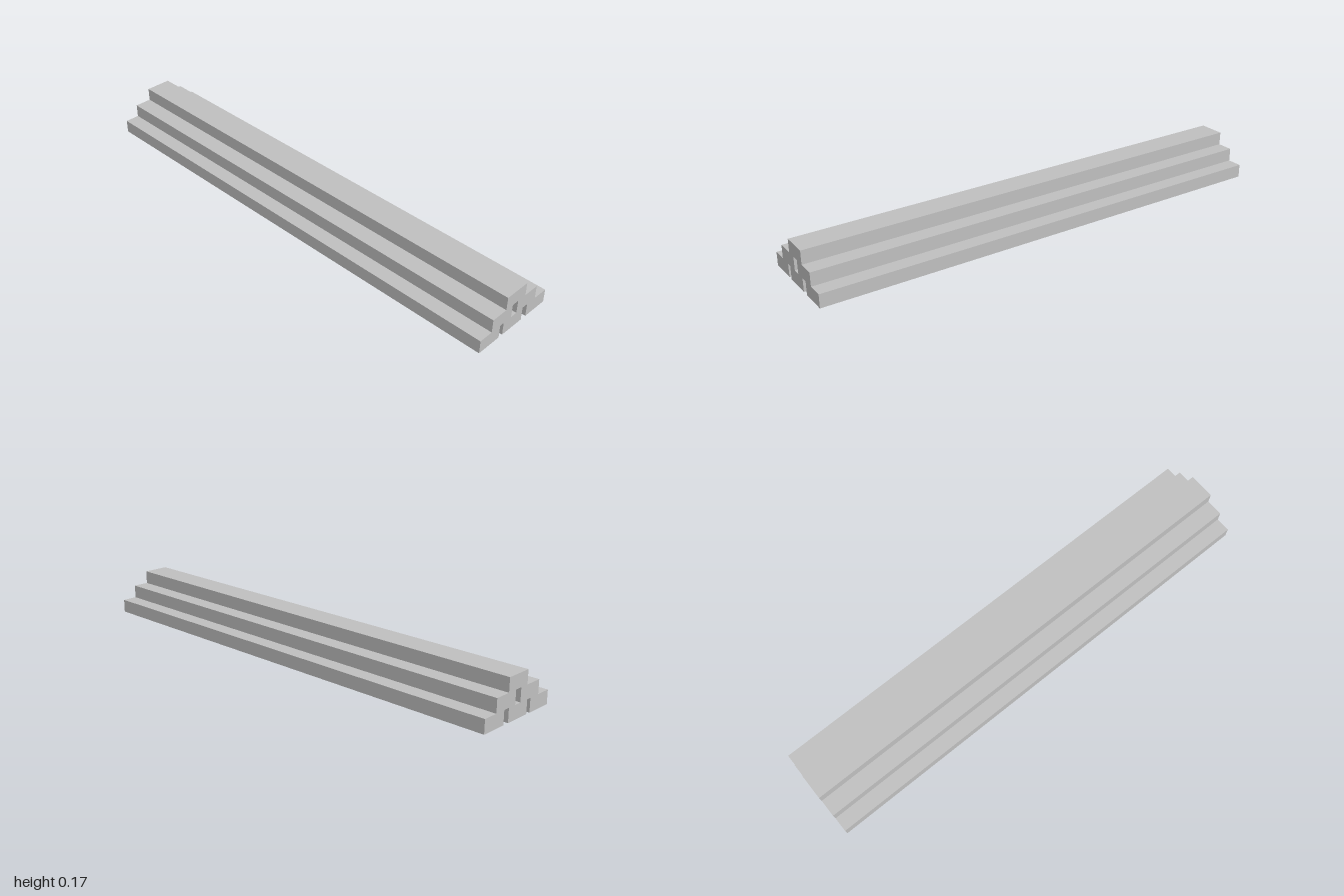
import * as THREE from 'three';

// Pyramid stack of six long square-edged beams: three, two, one
export function createModel() {
  const group = new THREE.Group();
  group.name = 'beamStack';
  const gray = new THREE.MeshStandardMaterial({ color: 0xbfbfbf });
  gray.name = 'light gray';

  const width = 0.11, height = 0.0555, length = 2;
  const beam = new THREE.BoxGeometry(width, height, length);
  const rows = [
    { name: 'bottomBeam', centres: [-0.134, -0.004, 0.133] },
    { name: 'middleBeam', centres: [-0.072, 0.069] },
    { name: 'topBeam', centres: [0.001] },
  ];

  // Each row rests directly on the one below
  rows.forEach(({ name, centres }, level) => {
    centres.forEach((x, i) => {
      const mesh = new THREE.Mesh(beam, gray);
      mesh.name = centres.length > 1 ? `${name}${i + 1}` : name;
      mesh.position.set(x, (level + 0.5) * height, 0);
      group.add(mesh);
    });
  });
  return group;
}
